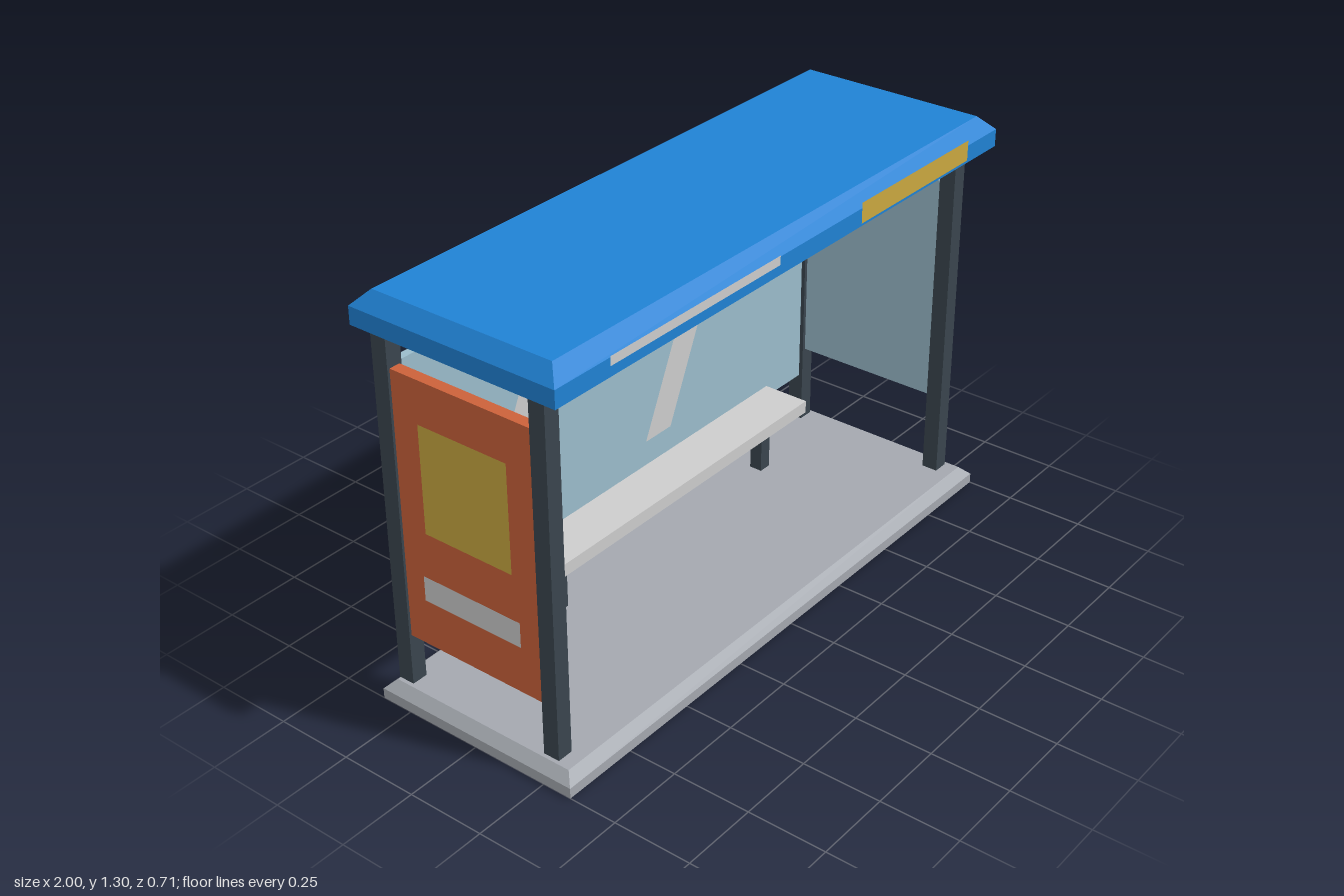
import * as THREE from 'three';

const mat = (name, color, double = false) => {
  const m = new THREE.MeshStandardMaterial({ color });
  m.name = name;
  if (double) m.side = THREE.DoubleSide;
  return m;
};

export function createModel() {
  const model = new THREE.Group();
  model.name = 'busShelter';

  const blue = mat('roofBlue', 0x2082d4);
  const metal = mat('darkMetal', 0x3a454e);
  const glass = mat('paleGlass', 0x9bbccb);
  const orange = mat('panelOrange', 0xcc613a);
  const concrete = mat('concrete', 0xa4a8af, true);
  const light = mat('lightGrey', 0xcdcdcd, true);
  const yellow = mat('signYellow', 0xcaa840, true);

  const add = (name, geometry, material) => {
    const mesh = new THREE.Mesh(geometry, material);
    mesh.name = name;
    model.add(mesh);
    return mesh;
  };

  // Box given by its limits on each axis
  const box = (name, material, [x0, x1], [y0, y1], [z0, z1]) => {
    const mesh = add(name, new THREE.BoxGeometry(x1 - x0, y1 - y0, z1 - z0), material);
    mesh.position.set((x0 + x1) / 2, (y0 + y1) / 2, (z0 + z1) / 2);
  };

  // Flat plate facing front, or facing sideways when turned
  const plate = (name, material, w, h, x, y, z, turn = 0) => {
    const mesh = add(name, new THREE.PlaneGeometry(w, h), material);
    mesh.position.set(x, y, z);
    mesh.rotation.y = turn;
  };

  // Rectangular slab with a chamfered top edge, built from three rings
  const slab = (name, material, y0, y1, y2, inset, closed) => {
    const ring = (y, d) => [[-1 + d, y, 0.345 - d], [1 - d, y, 0.345 - d],
      [1 - d, y, -0.355 + d], [-1 + d, y, -0.355 + d]];
    const rings = [ring(y0, 0), ring(y1, 0), ring(y2, inset)];
    const pos = [];
    const quad = (a, b, c, d) => pos.push(...a, ...b, ...c, ...a, ...c, ...d);
    for (let r = 0; r < 2; r++) {
      for (let i = 0; i < 4; i++) {
        const j = (i + 1) % 4;
        quad(rings[r][i], rings[r][j], rings[r + 1][j], rings[r + 1][i]);
      }
    }
    quad(...rings[2]);
    if (closed) quad(...rings[0].slice().reverse());
    const g = new THREE.BufferGeometry();
    g.setAttribute('position', new THREE.Float32BufferAttribute(pos, 3));
    g.computeVertexNormals();
    add(name, g, material);
  };

  // Base, roof and the frame under the roof
  slab('base', concrete, 0, 0.033, 0.062, 0.03, false);
  slab('roof', blue, 1.2, 1.255, 1.3, 0.044, true);
  box('roofFrame', metal, [-0.95, 0.95], [1.17, 1.2], [-0.33, 0.29]);

  // Corner posts
  for (const x of [-0.932, 0.932]) {
    for (const [z0, z1] of [[0.217, 0.27], [-0.328, -0.275]]) {
      box('post', metal, [x - 0.026, x + 0.026], [0.045, 1.172], [z0, z1]);
    }
  }

  // Wall panels
  box('backGlass', glass, [-0.906, 0.906], [0.227, 1.077], [-0.314, -0.288]);
  box('leftGlass', glass, [0.918, 0.946], [0.327, 1.077], [-0.275, 0.217]);
  box('advertPanel', orange, [-0.95, -0.914], [0.227, 1.077], [-0.275, 0.217]);

  // Poster and notice on both faces of the advert panel
  for (const [x, turn] of [[-0.955, -Math.PI / 2], [-0.909, Math.PI / 2]]) {
    plate('poster', yellow, 0.31, 0.34, x, 0.775, -0.027, turn);
    plate('notice', light, 0.35, 0.08, x, 0.42, -0.027, turn);
  }

  // Slanted stripes on the back glass
  const stripe = new THREE.Shape([[0, 0.355], [0.12, 0.355], [0.415, 1.002], [0.3, 1.002]]
    .map(([x, y]) => new THREE.Vector2(x, y)));
  for (const x of [-0.66, 0.09]) {
    add('glassStripe', new THREE.ShapeGeometry(stripe), light).position.set(x, 0, -0.283);
  }

  // Signs on the roof edge
  plate('roofStripe', light, 0.7, 0.028, -0.45, 1.248, 0.35);
  plate('roofSign', yellow, 0.55, 0.064, 0.55, 1.248, 0.355);

  // Bench
  box('benchSeat', light, [-0.55, 0.696], [0.243, 0.285], [-0.27, -0.11]);
  for (const x of [-0.428, 0.573]) {
    box('benchLeg', metal, [x - 0.022, x + 0.022], [0.05, 0.243], [-0.224, -0.18]);
  }

  return model;
}
